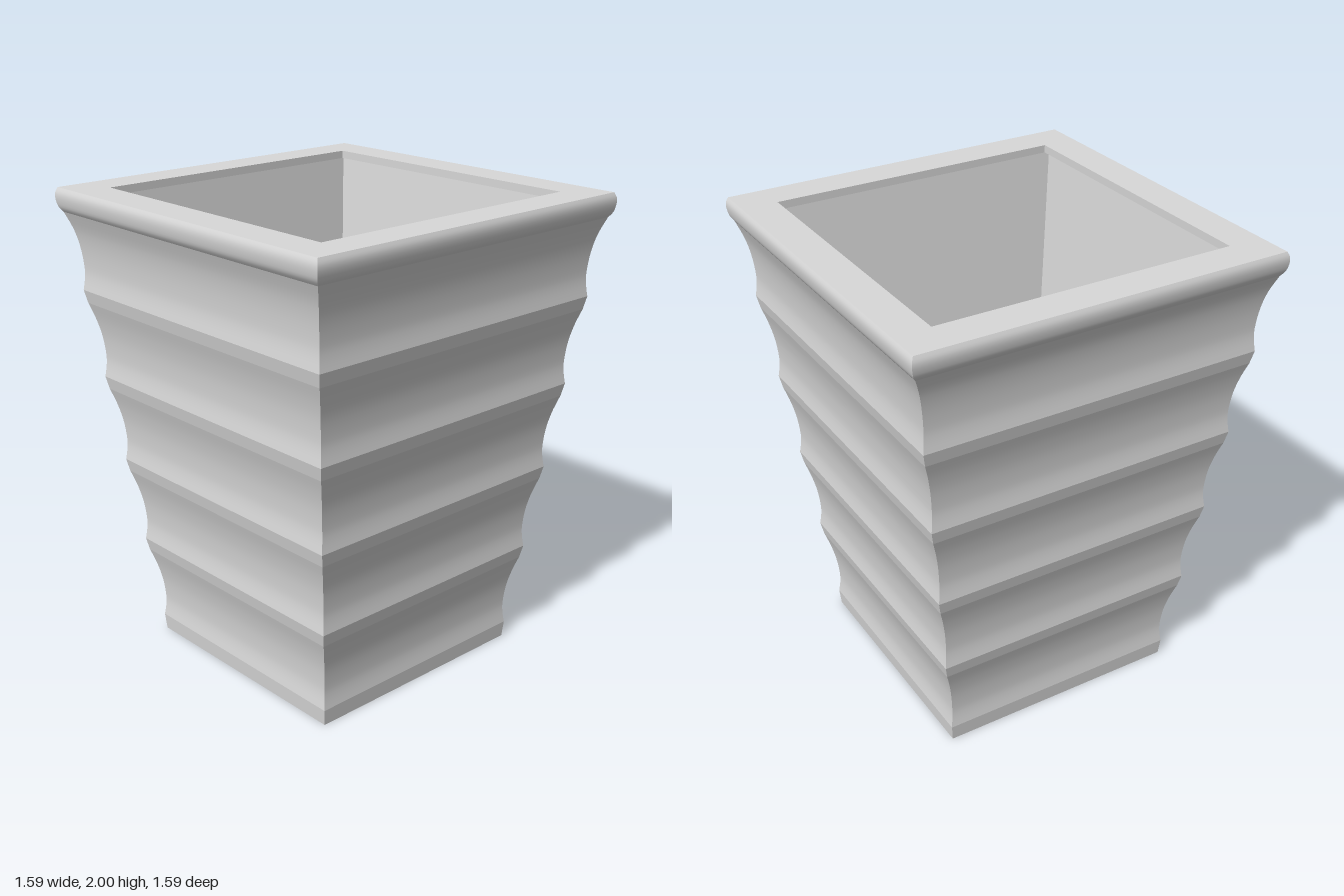
import * as THREE from 'three';
import { mergeGeometries } from 'three/addons/utils/BufferGeometryUtils.js';

// Sweep a profile of [halfWidth, y] points around a square; smooth along the profile, sharp at the corners.
function squareSweep(profile) {
  const sides = [];
  for (let s = 0; s < 4; s++) {
    const pos = [], index = [];
    profile.forEach(([r, y], i) => {
      pos.push(-r, y, r, r, y, r);
      if (i > 0) {
        const a = 2 * (i - 1);
        index.push(a, a + 1, a + 3, a, a + 3, a + 2);
      }
    });
    const g = new THREE.BufferGeometry();
    g.setAttribute('position', new THREE.Float32BufferAttribute(pos, 3));
    g.setIndex(index);
    g.rotateY(s * Math.PI / 2);
    g.computeVertexNormals();
    sides.push(g);
  }
  return mergeGeometries(sides);
}

// Smooth curve through a few profile points
function curve(points, n) {
  return new THREE.SplineCurve(points.map(p => new THREE.Vector2(...p)))
    .getPoints(n).map(p => [p.x, p.y]);
}

export function createModel() {
  const group = new THREE.Group();
  const stone = new THREE.MeshStandardMaterial({ color: 0xd9d9d9 });
  stone.name = 'pale grey stone';
  const add = (name, profile) => {
    const mesh = new THREE.Mesh(squareSweep(profile), stone);
    mesh.name = name;
    group.add(mesh);
  };

  // Base
  add('base', [[0, 0], [0.532, 0]]);

  // Five flared tiers, each a narrow flat band under a concave cove
  const tiers = 5, pitch = 0.376, step = 0.048;
  for (let i = 0; i < tiers; i++) {
    const at = ([r, y]) => [r + i * step, y + i * pitch];
    const bandStart = i === 0 ? [0.532, 0] : at([0.527, 0.015]);
    const last = i === tiers - 1;
    add('band', [bandStart, at([0.538, 0.07])]);
    add('cove', curve([
      at([0.538, 0.07]), at([0.532, 0.12]), at([0.531, 0.17]), at([0.539, 0.25]),
      at([0.555, 0.325]), last ? [0.773, 1.9] : at([0.575, 0.391]),
    ], 16));
  }

  // Rounded rim and its flat top
  add('rimEdge', curve([[0.773, 1.9], [0.787, 1.922], [0.794, 1.955], [0.793, 1.98], [0.785, 2]], 12));
  add('rimTop', [[0.785, 2], [0.635, 2]]);

  // Hollow inside: upright lip overhanging the tapered walls, then the floor
  add('innerLip', [[0.635, 2], [0.635, 1.967]]);
  add('lipUnderside', [[0.635, 1.967], [0.705, 1.967]]);
  add('innerWalls', [[0.705, 1.967], [0.49, 0.1]]);
  add('innerFloor', [[0.49, 0.1], [0, 0.1]]);

  return group;
}
